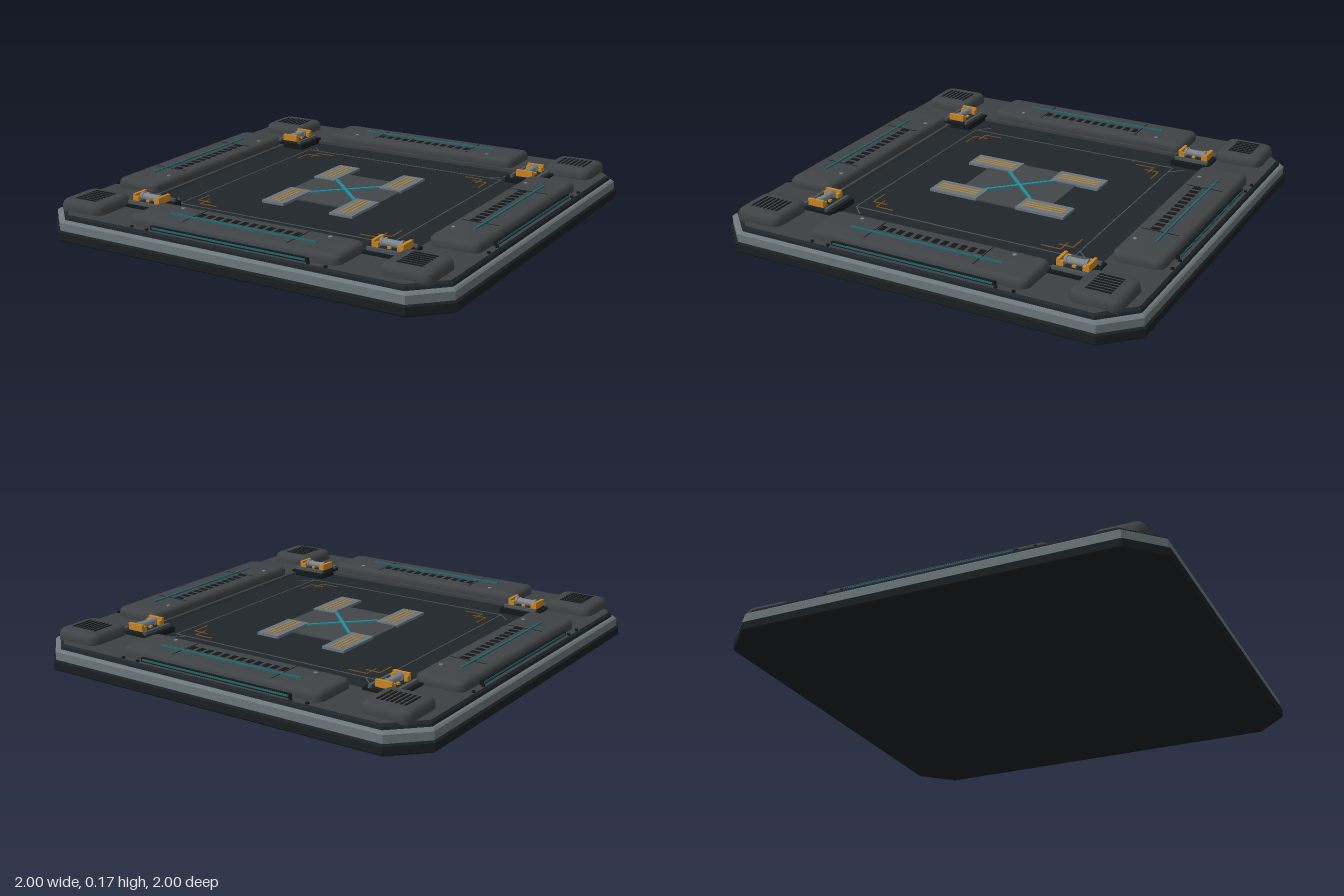
import * as THREE from 'three';
import { toCreasedNormals } from 'three/addons/utils/BufferGeometryUtils.js';

const mat = (color) => new THREE.MeshStandardMaterial({ color });
const M = {
  base: mat(0x1b1f22), band: mat(0x6c777b), frame: mat(0x3c4043), panel: mat(0x404346),
  floor: mat(0x20252a), dark: mat(0x14181a), plate: mat(0x42474a), pad: mat(0x68747c),
  steel: mat(0x7d868b), orange: mat(0xc98524), mark: mat(0x7a501a), line: mat(0x4c5458),
  cyan: mat(0x1f8c9c), teal: mat(0x1f6873),
};

function add(parent, name, geo, material, x = 0, y = 0, z = 0) {
  const m = new THREE.Mesh(geo, material);
  m.name = name;
  m.position.set(x, y, z);
  parent.add(m);
  return m;
}

// box placed by its bottom height
const box = (p, name, material, w, h, d, x, y, z) =>
  add(p, name, new THREE.BoxGeometry(w, h, d), material, x, y + h / 2, z);

// corners of a square with cut corners
function octagon(half, cut) {
  const a = half, b = half - cut;
  return [[a, -b], [a, b], [b, a], [-b, a], [-a, b], [-a, -b], [-b, -a], [b, -a]];
}

// stacked octagons [half, cut, y] joined by flat faces, optionally capped
function tier(levels, capped = true) {
  const pos = [];
  const rings = levels.map(([h, c, y]) => octagon(h, c).map(([x, z]) => [x, y, z]));
  for (let k = 0; k + 1 < rings.length; k++) {
    for (let i = 0; i < 8; i++) {
      const j = (i + 1) % 8, lo = rings[k], hi = rings[k + 1];
      pos.push(...lo[i], ...hi[i], ...hi[j], ...lo[i], ...hi[j], ...lo[j]);
    }
  }
  const bottom = rings[0], top = rings[rings.length - 1];
  if (capped) {
    for (let i = 1; i < 7; i++) {
      pos.push(...bottom[0], ...bottom[i], ...bottom[i + 1]);
      pos.push(...top[0], ...top[i + 1], ...top[i]);
    }
  }
  const g = new THREE.BufferGeometry();
  g.setAttribute('position', new THREE.Float32BufferAttribute(pos, 3));
  g.computeVertexNormals();
  return g;
}

// rounded slab lying flat, with a rounded upper edge
function slab(w, d, h, r, bevel) {
  const x = w / 2 - bevel, y = d / 2 - bevel, s = new THREE.Shape();
  s.moveTo(-x + r, -y);
  s.lineTo(x - r, -y).quadraticCurveTo(x, -y, x, -y + r);
  s.lineTo(x, y - r).quadraticCurveTo(x, y, x - r, y);
  s.lineTo(-x + r, y).quadraticCurveTo(-x, y, -x, y - r);
  s.lineTo(-x, -y + r).quadraticCurveTo(-x, -y, -x + r, -y);
  const g = new THREE.ExtrudeGeometry(s, {
    depth: h - bevel, bevelEnabled: true, bevelSize: bevel, bevelThickness: bevel,
    bevelSegments: 3, curveSegments: 4,
  });
  g.rotateX(-Math.PI / 2);
  return toCreasedNormals(g, 0.6);
}

// one side of the border: raised panel, vents, light lines and bolts
function sidePanel() {
  const g = new THREE.Group();
  g.name = 'sidePanel';
  add(g, 'panelBody', slab(1.04, 0.23, 0.045, 0.02, 0.022), M.panel, 0, 0.112, 0.81);
  const top = 0.157;
  for (let i = 0; i < 12; i++) box(g, 'ventSlot', M.dark, 0.024, 0.003, 0.04, (i - 5.5) * 0.0435, top - 0.001, 0.778);
  box(g, 'panelLight', M.teal, 0.73, 0.008, 0.008, 0, top - 0.001, 0.83);
  box(g, 'edgeStrip', M.dark, 0.78, 0.02, 0.014, 0, 0.112, 0.936);
  box(g, 'edgeLight', M.teal, 0.76, 0.008, 0.006, 0, 0.121, 0.943);
  for (const s of [-1, 1]) {
    box(g, 'panelSeam', M.dark, 0.004, 0.002, 0.17, s * 0.26, top - 0.001, 0.805);
    add(g, 'screw', new THREE.CylinderGeometry(0.009, 0.009, 0.004, 6), M.steel, s * 0.37, top + 0.001, 0.738);
    for (const x of [0.4, 0.48]) {
      add(g, 'edgeBolt', new THREE.CylinderGeometry(0.008, 0.008, 0.01, 8), M.dark, s * x, 0.117, 0.952);
    }
  }
  return g;
}

// corner pod with a slotted grille
function cornerPod() {
  const g = new THREE.Group();
  g.name = 'cornerPod';
  add(g, 'podBody', slab(0.23, 0.23, 0.05, 0.02, 0.028), M.panel, 0, 0.112, 0);
  for (let i = -3; i <= 3; i++) box(g, 'grilleSlot', M.dark, 0.11, 0.004, 0.009, 0, 0.161, i * 0.021);
  return g;
}

// docking clamp, its roller lying along x
function clamp() {
  const g = new THREE.Group();
  g.name = 'clamp';
  box(g, 'clampBase', M.dark, 0.185, 0.025, 0.175, 0, 0.1, 0);
  box(g, 'clampBed', M.floor, 0.15, 0.008, 0.09, 0, 0.125, 0);
  for (const s of [-1, 1]) {
    box(g, 'clampRail', M.line, 0.165, 0.014, 0.014, 0, 0.125, s * 0.06);
    box(g, 'endBracket', M.orange, 0.014, 0.034, 0.08, s * 0.066, 0.13, 0);
    for (const t of [-1, 1]) box(g, 'bracketArm', M.orange, 0.024, 0.024, 0.016, s * 0.055, 0.13, t * 0.032);
    box(g, 'rollerTab', M.orange, 0.016, 0.012, 0.012, 0, 0.13, s * 0.025);
    const cap = add(g, 'rollerCap', new THREE.CylinderGeometry(0.02, 0.02, 0.012, 16), M.steel, s * 0.046, 0.147, 0);
    cap.rotation.z = Math.PI / 2;
  }
  const roller = add(g, 'roller', new THREE.CylinderGeometry(0.016, 0.016, 0.1, 16), M.steel, 0, 0.147, 0);
  roller.rotation.z = Math.PI / 2;
  return g;
}

export function createModel() {
  const root = new THREE.Group();
  root.name = 'landingPad';

  // stacked hull
  add(root, 'base', tier([[0.995, 0.14, 0], [1, 0.145, 0.006], [1, 0.145, 0.04], [0.99, 0.14, 0.047]]), M.base);
  add(root, 'band', tier([[0.99, 0.14, 0.047], [0.99, 0.14, 0.083], [0.982, 0.138, 0.09], [0.965, 0.135, 0.094]]), M.band);

  // border frame with a square opening
  const outline = new THREE.Shape(octagon(0.96, 0.135).map(([x, y]) => new THREE.Vector2(x, y)));
  const q = 0.68;
  outline.holes.push(new THREE.Path([[-q, -q], [-q, q], [q, q], [q, -q]].map(([x, y]) => new THREE.Vector2(x, y))));
  const frame = new THREE.ExtrudeGeometry(outline, { depth: 0.025, bevelEnabled: false });
  add(root, 'frame', frame.rotateX(-Math.PI / 2), M.frame, 0, 0.09, 0);
  add(root, 'frameEdge', tier([[0.972, 0.137, 0.093], [0.97, 0.137, 0.106], [0.96, 0.135, 0.115]], false), M.floor);
  box(root, 'floor', M.floor, 1.37, 0.012, 1.37, 0, 0.088, 0);

  // border panels on all four sides
  for (let k = 0; k < 4; k++) {
    const p = sidePanel();
    p.rotation.y = k * Math.PI / 2;
    root.add(p);
  }

  // corner pods and clamps, turned a quarter at the back
  for (const x of [-1, 1]) for (const z of [-1, 1]) {
    const turn = z < 0 ? Math.PI / 2 : 0;
    const pod = cornerPod(), c = clamp();
    pod.position.set(x * 0.803, 0, z * 0.803);
    if (z < 0) c.position.set(x * 0.657, 0, -0.61);
    else c.position.set(x * 0.61, 0, 0.655);
    pod.rotation.y = c.rotation.y = turn;
    root.add(pod, c);
  }

  // painted guide lines on the floor
  const f = 0.1, t = 0.005, h = 0.002;
  for (const s of [-1, 1]) {
    box(root, 'guideLine', M.line, 1.08, h, t, 0, f, s * 0.54);
    box(root, 'guideLine', M.line, t, h, 1.08, s * 0.54, f, 0);
    for (const z of [-1, 1]) {
      const [x0, z0] = z < 0 ? [0.51, -0.57] : [0.57, 0.51];
      box(root, 'guideTick', M.line, 0.085, h, t, s * x0, f, z0).rotation.y = s * Math.PI / 4;
      // corner brackets and crosses
      box(root, 'cornerMark', M.mark, 0.09, h, 0.006, s * 0.415, f, z * 0.5);
      box(root, 'cornerMark', M.mark, 0.006, h, 0.09, s * 0.5, f, z * 0.415);
      box(root, 'cornerCross', M.mark, 0.07, h, 0.006, s * 0.465, f, z * 0.46);
      box(root, 'cornerCross', M.mark, 0.006, h, 0.07, s * 0.46, f, z * 0.465);
    }
  }

  // central plate with four foot pads and a glowing cross
  box(root, 'centrePlate', M.plate, 0.46, 0.006, 0.46, 0, f, 0);
  for (const x of [-1, 1]) {
    for (const z of [-1, 1]) {
      box(root, 'footPad', M.pad, 0.115, 0.012, 0.24, x * 0.178, f, z * 0.22);
      for (let i = -1; i <= 1; i++) box(root, 'padStripe', M.orange, 0.006, 0.003, 0.2, x * 0.178 + i * 0.021, f + 0.011, z * 0.22);
    }
    box(root, 'crossBar', M.cyan, 0.335, 0.008, 0.014, 0, f + 0.004, 0).rotation.y = x * Math.PI / 4;
  }
  return root;
}
